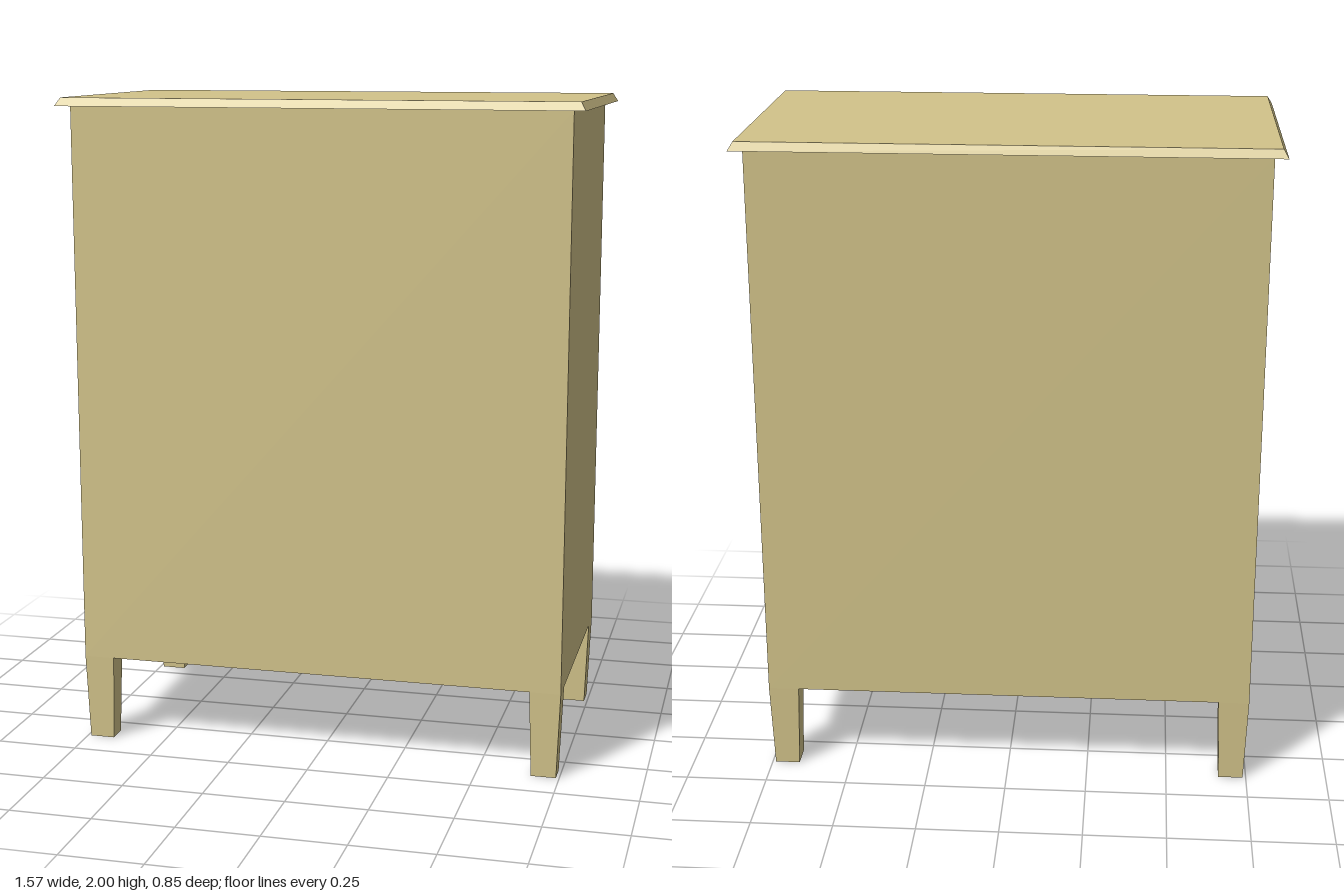
import * as THREE from 'three';

// Box whose top and bottom rectangles differ: each is [x0, x1, z0, z1]
function taperedBox(bottom, top, y0, y1) {
  const geo = new THREE.BoxGeometry(1, 1, 1);
  const p = geo.attributes.position;
  for (let i = 0; i < p.count; i++) {
    const up = p.getY(i) > 0;
    const r = up ? top : bottom;
    p.setXYZ(i, p.getX(i) < 0 ? r[0] : r[1], up ? y1 : y0, p.getZ(i) < 0 ? r[2] : r[3]);
  }
  geo.computeVertexNormals();
  return geo;
}

export function createModel() {
  const group = new THREE.Group();
  const wood = new THREE.MeshStandardMaterial({ color: 0xd2c38a });
  wood.name = 'pale wood';

  const add = (name, geo) => {
    const mesh = new THREE.Mesh(geo, wood);
    mesh.name = name;
    group.add(mesh);
  };
  const rect = (x, z) => [-x, x, -z, z];

  const legTop = 0.265, bodyTop = 1.975;

  // Plain cabinet body
  add('cabinetBody', taperedBox(rect(0.75, 0.39), rect(0.75, 0.39), legTop, bodyTop));

  // Overhanging top board with bevelled edges
  add('topBoard', taperedBox(rect(0.787, 0.426), rect(0.772, 0.411), bodyTop, 2));

  // Tapered corner legs; the front pair is slightly shallower
  for (const sx of [-1, 1]) {
    for (const sz of [-1, 1]) {
      const depth = sz > 0 ? 0.075 : 0.087;
      const span = (s, a, b) => (s > 0 ? [a, b] : [-b, -a]);
      const foot = [...span(sx, 0.664, 0.74), ...span(sz, 0.396 - depth, 0.384)];
      const head = [...span(sx, 0.656, 0.75), ...span(sz, 0.39 - depth, 0.39)];
      add((sz > 0 ? 'front' : 'back') + (sx > 0 ? 'Left' : 'Right') + 'Leg',
        taperedBox(foot, head, 0, legTop));
    }
  }
  return group;
}
